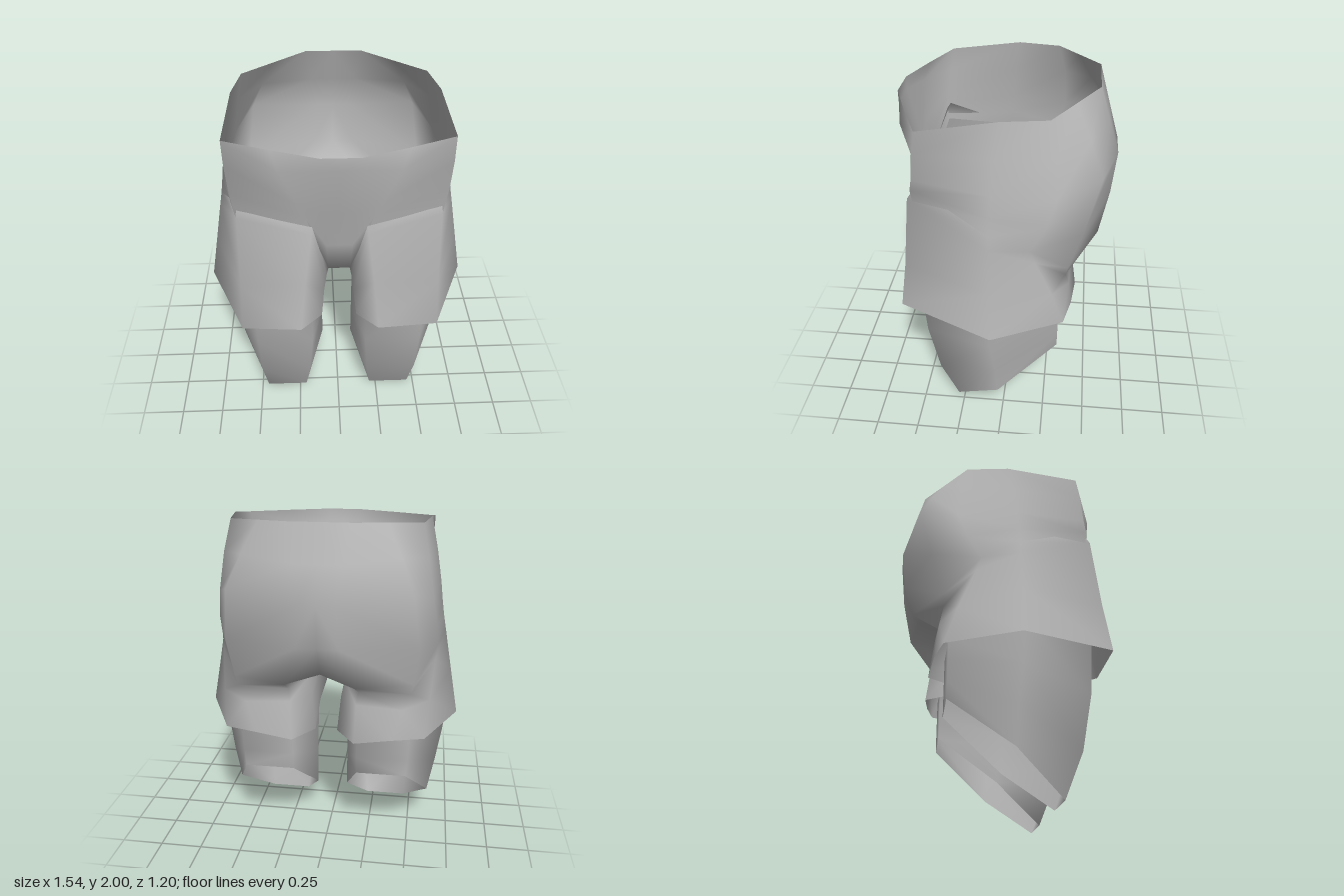
import * as THREE from 'three';
import { mergeGeometries, mergeVertices } from 'three/addons/utils/BufferGeometryUtils.js';

// Skin rows of [x, y, z] points, top row first; side = -1 mirrors in x
function loft(rows, side, closed) {
  const n = rows[0].length, pos = [], idx = [];
  for (const row of rows) for (const [x, y, z] of row) pos.push(x * side, y, z);
  for (let r = 0; r < rows.length - 1; r++) {
    for (let c = 0; c < (closed ? n : n - 1); c++) {
      const a = r * n + c, b = r * n + (c + 1) % n, d = a + n, e = b + n;
      if (side > 0) idx.push(a, d, b, b, d, e);
      else idx.push(a, b, d, b, e, d);
    }
  }
  const g = new THREE.BufferGeometry();
  g.setAttribute('position', new THREE.Float32BufferAttribute(pos, 3));
  g.setIndex(idx);
  return g;
}

function smooth(parts) {
  const g = mergeVertices(mergeGeometries(parts), 1e-4);
  g.computeVertexNormals();
  return g;
}

// Half pelvis: centre front round the side to centre back
const waist = [[0, 1.91, .6], [.1, 1.91, .6], [.34, 1.91, .51], [.58, 1.91, .41], [.56, 1.97, 0],
  [.52, 1.97, -.24], [.34, 1.985, -.36], [.16, 2, -.48], [0, 2, -.48]];
const belly = [[0, 1.84, .6], [.1, 1.84, .6], [.3, 1.81, .55], [.575, 1.78, .43], [.6, 1.78, .03],
  [.555, 1.8, -.28], [.42, 1.82, -.44], [.13, 1.8, -.54], [0, 1.8, -.54]];
const hip = [[0, 1.55, .53], [.08, 1.55, .53], [.21, 1.6, .53], [.56, 1.63, .45], [.63, 1.6, .04],
  [.59, 1.58, -.29], [.49, 1.65, -.51], [.1, 1.6, -.6], [0, 1.6, -.6]];
const seat = [[0, 1.3, .47], [.07, 1.3, .47], [.175, 1.5, .5], [.545, 1.56, .465], [.645, 1.48, .05],
  [.615, 1.42, -.24], [.53, 1.34, -.43], [.12, 1.36, -.575], [0, 1.36, -.565]];
const fold = [[0, 1.11, .43], [.06, 1.11, .43], [.14, 1.36, .475], [.535, 1.46, .455], [.66, 1.38, .05],
  [.63, 1.28, -.16], [.51, 1.1, -.36], [.19, 1.13, -.52], [0, 1.18, -.47]];

// Crotch strip, front to back: centre point and edge point
const crotch = [[fold[0], fold[1]], [[0, 1.12, .1], [.1, 1.12, .1]],
  [[0, 1.12, -.2], [.13, 1.12, -.2]], [fold[8], fold[7]]];

// Wide leg loops: front, side, back, then the inner thigh
const legRows = [
  [[.14, 1.47, .475], [.53, 1.57, .44], fold[4], fold[5], fold[6], fold[7],
    crotch[2][1], crotch[1][1], fold[1]],
  [[.15, 1.4, .508], [.53, 1.5, .487], [.675, 1.3, .05], [.62, 1.2, -.19], [.49, 1.04, -.35],
    [.2, 1.04, -.36], [.11, 1.06, -.24], [.09, 1.05, .1], [.07, 1.06, .43]],
  [[.19, 1.08, .535], [.54, 1.08, .53], [.72, 1.05, .05], [.6, .98, -.28], [.45, .95, -.37],
    [.19, .97, -.38], [.085, .95, -.23], [.09, .95, .1], [.085, .95, .43]],
  [[.22, .775, .57], [.55, .8, .57], [.77, .775, .04], [.58, .77, -.35], [.4, .765, -.39],
    [.18, .74, -.41], [.065, .74, -.25], [.09, .78, .1], [.1, .775, .45]],
];

// Lower leg: hexagonal tube with a slanted open end
const lowerRows = [
  [[.15, .88, .47], [.49, .88, .47], [.715, .86, .06], [.5, .84, -.32], [.19, .84, -.32], [.095, .86, .06]],
  [[.16, .56, .45], [.485, .56, .45], [.69, .64, .05], [.495, .72, -.32], [.19, .72, -.32], [.095, .64, .05]],
  [[.18, .25, .39], [.48, .25, .39], [.655, .43, .03], [.49, .6, -.32], [.19, .6, -.32], [.095, .43, .03]],
  [[.21, 0, .29], [.46, 0, .29], [.615, .22, .02], [.48, .5, -.32], [.19, .5, -.32], [.095, .22, .02]],
];

export function createModel() {
  const group = new THREE.Group();
  const cloth = new THREE.MeshStandardMaterial({ color: 0xb8b8b8, side: THREE.DoubleSide });
  cloth.name = 'grey cloth';
  const add = (name, geometry) => {
    const mesh = new THREE.Mesh(geometry, cloth);
    mesh.name = name;
    group.add(mesh);
  };

  // Pelvis and wide legs, welded so the shading flows across the hips
  const parts = [];
  for (const side of [1, -1]) {
    parts.push(loft([waist, belly, hip, seat, fold], side, false));
    parts.push(loft(crotch, side, false));
    parts.push(loft(legRows, side, true));
  }
  add('shorts', smooth(parts));

  add('leftLowerLeg', smooth([loft(lowerRows, 1, true)]));
  add('rightLowerLeg', smooth([loft(lowerRows, -1, true)]));
  return group;
}
